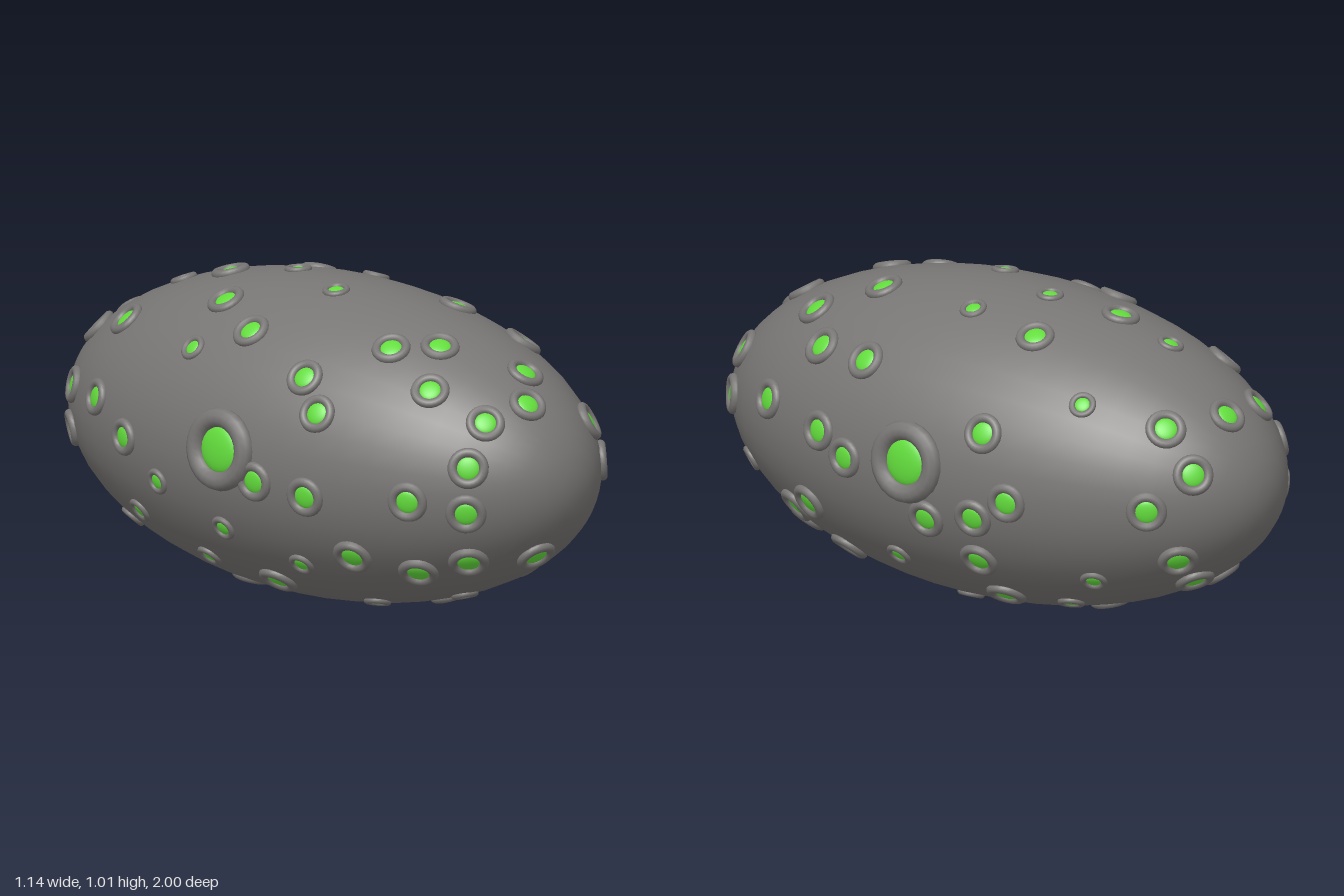
import * as THREE from 'three';

const CENTRE_Y = 0.51;
const RADII = new THREE.Vector3(0.53, 0.5, 1);

// Main pods by the side of the hull they face (azimuth and elevation in degrees),
// each placed by [across, up] from the hull centre.
const LEFT = { azimuth: 90, elevation: 0, radius: 0.064, pods: [
  [-0.58, 0.35], [-0.455, 0.29], [-0.25, 0.297], [-0.877, 0.153], [-0.882, 0.02], [-0.63, 0.094],
  [-0.37, 0.067], [-0.25, 0.01], [-0.455, -0.2], [-0.556, -0.248], [-0.626, -0.34], [-0.39, -0.36],
  [0.064, -0.125], [0.22, -0.245], [0.24, -0.09], [0.36, -0.02], [0.257, 0.18], [0.775, 0.233],
  [0.88, 0.105], [0.78, -0.007], [0.824, -0.184], [0.22, -0.392],
] };
const UPPER = { azimuth: 0, elevation: 90, radius: 0.061, pods: [
  [-0.148, 0.847], [0.037, 0.868], [-0.25, 0.64], [-0.037, 0.4], [0.227, 0.27], [-0.238, 0.238],
  [-0.339, 0.042], [-0.407, -0.243], [-0.45, -0.333], [-0.233, -0.444], [0.148, -0.376],
  [-0.132, -0.556], [-0.265, -0.635], [-0.21, -0.815], [0.026, -0.767], [-0.063, -0.857],
] };
const FRONT = { azimuth: 0, elevation: 0, radius: 0.064, pods: [
  [-0.292, 0.084], [-0.397, -0.03], [-0.3, -0.06], [-0.498, -0.052], [-0.524, -0.03], [-0.055, -0.227],
  [-0.234, -0.233], [-0.295, -0.28], [-0.403, -0.24], [-0.33, -0.39], [0.068, -0.45],
] };
const REAR_RIGHT = { azimuth: 215, elevation: 25, radius: 0.059, pods: [
  [-0.23, -0.288], [-0.246, -0.419], [-0.03, -0.236], [0.131, -0.267],
] };
const UNDERSIDE = { azimuth: 140, elevation: -28, radius: 0.063, pods: [
  [0.25, -0.267], [0.24, -0.356], [0.55, -0.037], [0.43, 0.068],
] };

// Finds the hull point lying across/up as seen from the given side.
function surfacePoint(azimuth, elevation, across, up) {
  const a = THREE.MathUtils.degToRad(azimuth);
  const e = THREE.MathUtils.degToRad(elevation);
  const right = new THREE.Vector3(Math.cos(a), 0, -Math.sin(a));
  const outward = new THREE.Vector3(Math.sin(a) * Math.cos(e), Math.sin(e), Math.cos(a) * Math.cos(e));
  const upward = outward.clone().cross(right);
  const p = right.multiplyScalar(across).addScaledVector(upward, up).divide(RADII);
  const d = outward.divide(RADII);
  const A = d.dot(d), B = p.dot(d), C = p.dot(p) - 1;
  const t = (-B + Math.sqrt(Math.max(0, B * B - A * C))) / A;
  return p.addScaledVector(d, t).normalize().multiply(RADII);
}

export function createModel() {
  const model = new THREE.Group();
  model.name = 'poddedHull';
  const hullGrey = new THREE.MeshStandardMaterial({ color: 0x787674 });
  hullGrey.name = 'hullGrey';
  const glowGreen = new THREE.MeshStandardMaterial({ color: 0x62dc3c });
  glowGreen.name = 'glowGreen';

  // Smooth ellipsoid hull with its poles at the nose and tail
  const hullGeometry = new THREE.SphereGeometry(1, 40, 28);
  hullGeometry.rotateX(Math.PI / 2);
  hullGeometry.scale(RADII.x, RADII.y, RADII.z);
  const hull = new THREE.Mesh(hullGeometry, hullGrey);
  hull.name = 'hull';
  hull.position.y = CENTRE_Y;
  model.add(hull);

  // Unit pod: a fat ring around a shallow green lens
  const ringGeometry = new THREE.TorusGeometry(0.76, 0.24, 10, 24);
  const lensGeometry = new THREE.SphereGeometry(0.58, 20, 6, 0, Math.PI * 2, 0, Math.PI / 2);
  lensGeometry.rotateX(Math.PI / 2);
  lensGeometry.scale(1, 1, 0.3);

  const pods = new THREE.Group();
  pods.name = 'pods';
  pods.position.y = CENTRE_Y;
  model.add(pods);

  function addPod(name, point, radius) {
    const pod = new THREE.Group();
    pod.name = name;
    const normal = point.clone().divide(RADII).divide(RADII).normalize();
    pod.position.copy(point);
    pod.quaternion.setFromUnitVectors(new THREE.Vector3(0, 0, 1), normal);
    pod.scale.setScalar(radius);
    const ring = new THREE.Mesh(ringGeometry, hullGrey);
    ring.name = 'podRing';
    const lens = new THREE.Mesh(lensGeometry, glowGreen);
    lens.name = 'podLens';
    pod.add(ring, lens);
    pods.add(pod);
  }

  // One large pod on each flank
  for (const azimuth of [90, 270]) addPod('flankPod', surfacePoint(azimuth, 0, 0, 0.05), 0.13);

  // Main pods
  for (const side of [LEFT, UPPER, FRONT, REAR_RIGHT, UNDERSIDE]) {
    for (const [across, up] of side.pods) {
      addPod('mainPod', surfacePoint(side.azimuth, side.elevation, across, up), side.radius);
    }
  }

  // Small pods along a golden-angle spiral, wherever the main pods leave a gap
  const SPIRAL_POINTS = 90;
  for (let i = 0; i < SPIRAL_POINTS; i++) {
    const z = 0.9 * (1 - (2 * i + 1) / SPIRAL_POINTS);
    const angle = i * Math.PI * (3 - Math.sqrt(5));
    const girth = Math.sqrt(1 - z * z);
    const point = new THREE.Vector3(girth * Math.cos(angle), girth * Math.sin(angle), z).multiply(RADII);
    const isClear = pods.children.every((pod) => pod.position.distanceTo(point) > 0.13 + pod.scale.x);
    if (isClear) addPod('smallPod', point, 0.043);
  }
  return model;
}
